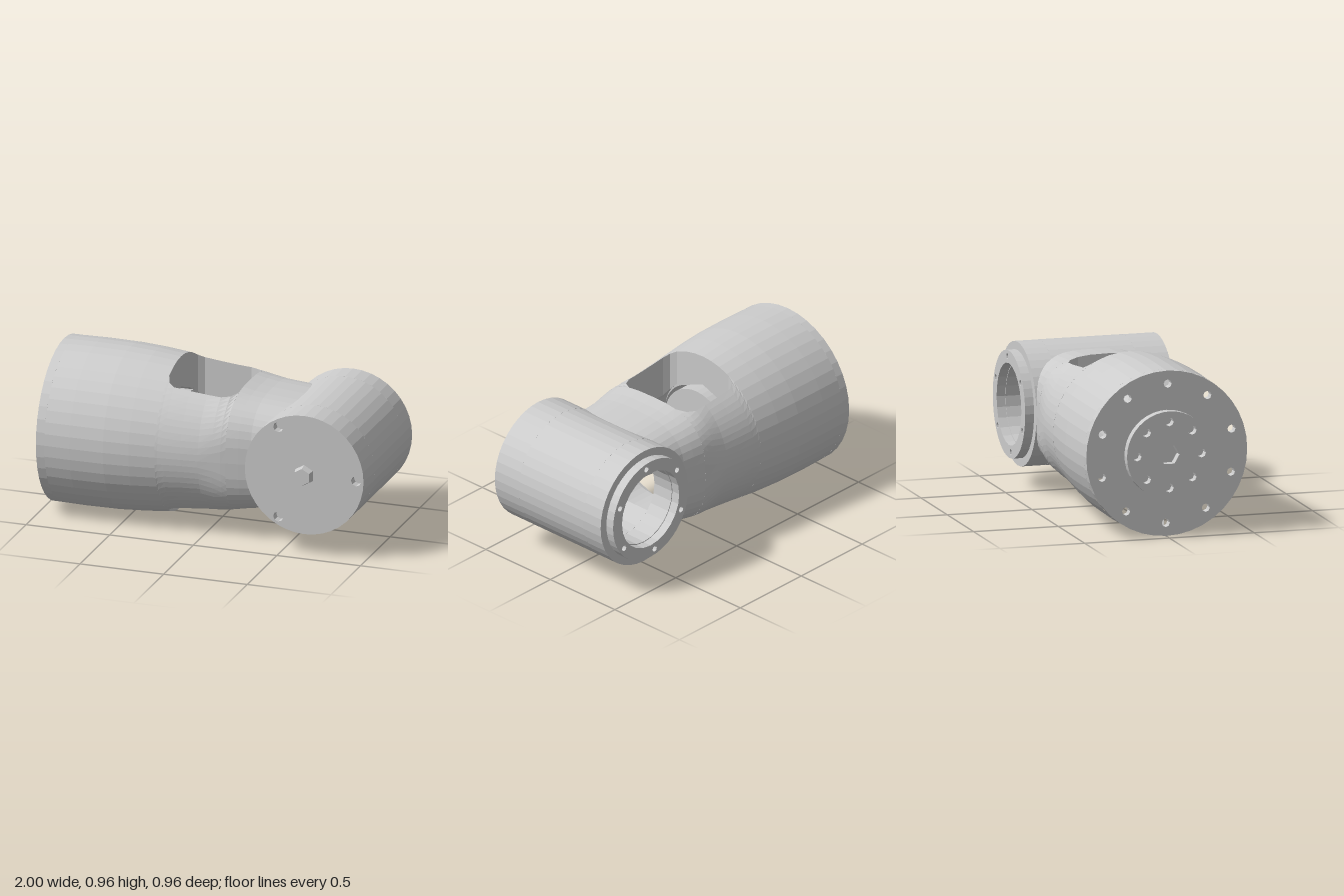
import * as THREE from 'three';

const CY = 0.478; // height of both axes
const JX = 0.64;  // joint axis position
const SIDES = 40;

const mat = new THREE.MeshStandardMaterial({ color: 0xcccccc, flatShading: true });

function add(parent, name, geometry) {
  const mesh = new THREE.Mesh(geometry, mat);
  mesh.name = name;
  parent.add(mesh);
  return mesh;
}

// Points on an arc
function arc(r, from, to, n, cx = 0, cy = 0) {
  return Array.from({ length: n + 1 }, (_, i) => {
    const a = from + (to - from) * i / n;
    return new THREE.Vector2(cx + r * Math.cos(a), cy + r * Math.sin(a));
  });
}
const circle = (r, n, cx, cy) => arc(r, 0, Math.PI * 2, n, cx, cy).slice(0, n);

// Round plate with round holes [x, y, radius, sides], spanning z0..z1
function plate(r, holes, z0, z1) {
  const shape = new THREE.Shape(circle(r, SIDES));
  for (const [x, y, hr, n = 8] of holes) shape.holes.push(new THREE.Path(circle(hr, n, x, y)));
  return extrude(shape, z0, z1);
}
function extrude(shape, z0, z1) {
  return new THREE.ExtrudeGeometry(shape, { depth: z1 - z0, bevelEnabled: false }).translate(0, 0, z0);
}
function boltCircle(count, r, hr, start = 0) {
  return Array.from({ length: count }, (_, i) => {
    const a = start + i * Math.PI * 2 / count;
    return [r * Math.cos(a), r * Math.sin(a), hr];
  });
}

// Arm stations: x, half depth, half height, squareness, window half width
const stations = [
  [-0.9, 0.475, 0.475, 2, 0],
  [-0.75, 0.478, 0.478, 2, 0],
  [-0.55, 0.476, 0.476, 2, 0],
  [-0.4, 0.467, 0.467, 2, 0],
  [-0.25, 0.452, 0.452, 2, 0],
  [-0.25, 0.452, 0.452, 2, 0.2],
  [-0.235, 0.45, 0.45, 2, 0.24],
  [-0.2, 0.447, 0.446, 2, 0.26],
  [-0.1, 0.438, 0.437, 2, 0.26],
  [0, 0.428, 0.425, 2.05, 0.26],
  [0.08, 0.419, 0.395, 2.4, 0.26],
  [0.13, 0.413, 0.372, 2.7, 0.235],
  [0.16, 0.408, 0.36, 2.9, 0.18],
  [0.16, 0.408, 0.36, 2.9, 0],
  [0.23, 0.396, 0.345, 3, 0],
  [0.3, 0.383, 0.335, 3, 0],
  [0.39, 0.38, 0.32, 3, 0],
];

// Half of the hollow arm: a closed wall section swept along x
function halfArm() {
  const n = 22, pos = [], index = [];
  const wall = (rz, ry, e, w) => {
    const a0 = Math.asin(Math.pow(w / rz, e / 2));
    return Array.from({ length: n + 1 }, (_, i) => {
      const t = a0 + (Math.PI - 2 * a0) * i / n, c = Math.cos(t);
      return [
        Math.sign(c) * ry * Math.pow(Math.abs(c), 2 / e),
        rz * Math.pow(Math.max(Math.sin(t), 0), 2 / e),
      ];
    });
  };
  stations.forEach(([x, rz, ry, e, w], s) => {
    const loop = [...wall(rz, ry, e, w), ...wall(0.29, 0.27, 2, w).reverse()];
    const wrap = s === stations.length - 1 ? 0.11 : 0; // end curves around the joint
    for (const [y, z] of loop) pos.push(x + wrap * (y / ry) ** 2, y, z);
  });
  const m = 2 * (n + 1);
  for (let i = 0; i < stations.length - 1; i++) {
    for (let j = 0; j < m; j++) {
      const a = i * m + j, b = i * m + (j + 1) % m;
      index.push(a, b, a + m, b, b + m, a + m);
    }
  }
  const g = new THREE.BufferGeometry();
  g.setAttribute('position', new THREE.Float32BufferAttribute(pos, 3));
  g.setIndex(index);
  g.computeVertexNormals();
  return g;
}

export function createModel() {
  const model = new THREE.Group();
  model.name = 'armJoint';

  // Hollow arm with a window through top and bottom
  const arm = new THREE.Group();
  arm.name = 'arm';
  arm.position.y = CY;
  model.add(arm);
  add(arm, 'frontArmShell', halfArm());
  add(arm, 'backArmShell', halfArm()).rotation.x = Math.PI;

  // Mounting end: bolted plate, raised hub
  const mount = new THREE.Group();
  mount.name = 'mountingEnd';
  mount.rotation.y = -Math.PI / 2; // local +z points to -x
  arm.add(mount);
  add(mount, 'mountingPlate', plate(0.475, boltCircle(10, 0.4, 0.024, 0.3), 0.9, 0.95));
  add(mount, 'mountingHub', plate(0.25, [[0, 0, 0.06, 6], ...boltCircle(8, 0.19, 0.026)], 0.95, 1));

  // Drive unit inside, its end seen through the window
  add(mount, 'driveUnit', plate(0.245, [], 0.2, 0.9));
  add(mount, 'driveShaft', new THREE.CylinderGeometry(0.05, 0.05, 0.065, 8)
    .rotateX(Math.PI / 2).translate(0, 0, 0.1675));

  // Cross cylinder
  const joint = new THREE.Group();
  joint.name = 'joint';
  joint.position.set(JX, CY, 0);
  model.add(joint);
  const R = 0.355, BORE = 0.23;
  add(joint, 'jointBackWall', plate(R, [[0, 0, BORE, 24]], -0.385, -0.25));
  add(joint, 'jointFrontWall', plate(R, [[0, 0, BORE, 24]], 0.25, 0.385));

  // Middle of the cylinder, open towards the arm
  const g = 0.72, end = Math.PI - g;
  const open = new THREE.Shape([...arc(R, -end, end, 32), ...arc(BORE, end, -end, 20)]);
  add(joint, 'jointMiddleWall', extrude(open, -0.25, 0.25));

  // Front cover with three bolt holes and a hex head
  add(joint, 'frontCover', plate(R, boltCircle(3, 0.31, 0.03), 0.385, 0.435));
  add(joint, 'hexHead', new THREE.CylinderGeometry(0.05, 0.06, 0.04, 6)
    .rotateX(Math.PI / 2).translate(0, 0, 0.455));

  // Back collar around the open bore
  add(joint, 'backCollar', plate(0.308, [[0, 0, 0.235, 24], ...boltCircle(6, 0.272, 0.018, 0.4)], -0.437, -0.385));

  return model;
}
